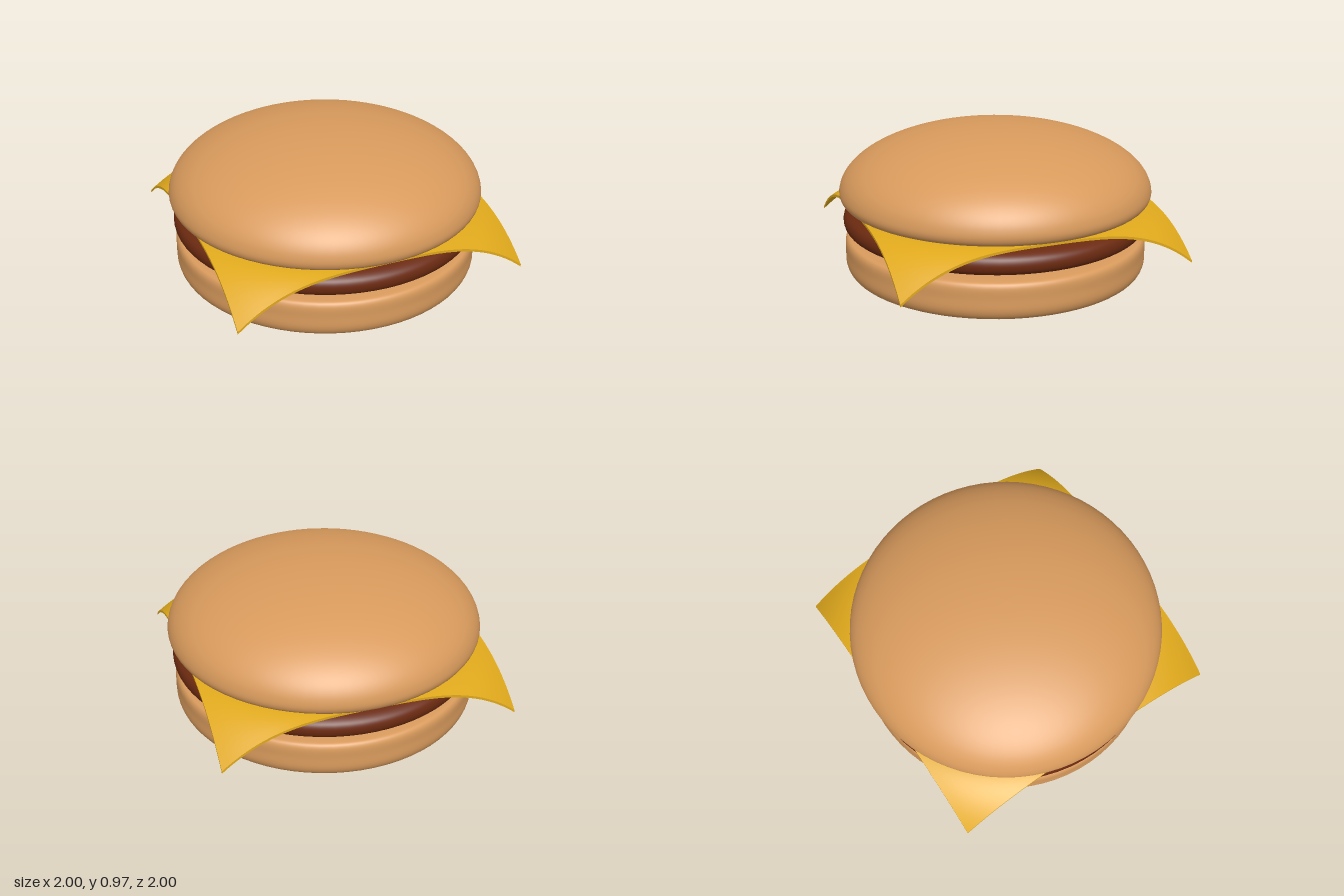
import * as THREE from 'three';

const BUN = 0xd89a5c, PATTY = 0x6b2a10, CHEESE = 0xe0a91c;

// Round layer: smooth curve through [radius, y] points, bottom to top, spun about y
function layer(name, color, points) {
  const curve = new THREE.CatmullRomCurve3(points.map(([r, y]) => new THREE.Vector3(r, y, 0)), false, 'centripetal');
  const profile = curve.getPoints(points.length * 5).map(p => new THREE.Vector2(Math.max(p.x, 0), p.y));
  const mesh = new THREE.Mesh(new THREE.LatheGeometry(profile, 72), new THREE.MeshStandardMaterial({ color }));
  mesh.name = name;
  return mesh;
}

// Square slice: flat in the middle, drooping beyond the rim of the patty
function cheeseSlice() {
  const geometry = new THREE.BoxGeometry(1.85, 0.016, 1.85, 48, 1, 48);
  const pos = geometry.attributes.position;
  for (let i = 0; i < pos.count; i++) {
    const over = Math.max(0, Math.hypot(pos.getX(i), pos.getZ(i)) - 0.9);
    pos.setY(i, pos.getY(i) + 0.487 - 1.45 * over * over);
  }
  geometry.computeVertexNormals();
  const mesh = new THREE.Mesh(geometry, new THREE.MeshStandardMaterial({ color: CHEESE }));
  mesh.name = 'cheeseSlice';
  return mesh;
}

export function createModel() {
  const group = new THREE.Group();
  group.name = 'cheeseburger';

  // Bottom bun: nearly flat base, upright side, softly rounded rim
  group.add(layer('bottomBun', BUN, [
    [0, 0], [0.4, 0.008], [0.75, 0.018], [0.88, 0.03], [0.945, 0.055], [0.97, 0.1],
    [0.972, 0.18], [0.97, 0.25], [0.955, 0.275], [0.92, 0.283], [0.7, 0.288], [0, 0.292],
  ]));

  // Patty: flat disc with a rounded edge
  group.add(layer('patty', PATTY, [
    [0, 0.29], [0.6, 0.296], [0.85, 0.305], [0.93, 0.32], [0.968, 0.345], [0.98, 0.385],
    [0.968, 0.425], [0.93, 0.45], [0.85, 0.463], [0.6, 0.474], [0, 0.478],
  ]));

  group.add(cheeseSlice());

  // Top bun: flat underside, tight lower rim, elliptical dome
  const dome = [];
  for (let i = 0; i <= 12; i++) {
    const a = (i / 12) * Math.PI / 2;
    dome.push([Math.cos(a), 0.56 + 0.41 * Math.sin(a)]);
  }
  group.add(layer('topBun', BUN, [
    [0, 0.496], [0.6, 0.496], [0.88, 0.498], [0.95, 0.503], [0.985, 0.523], ...dome,
  ]));

  return group;
}
